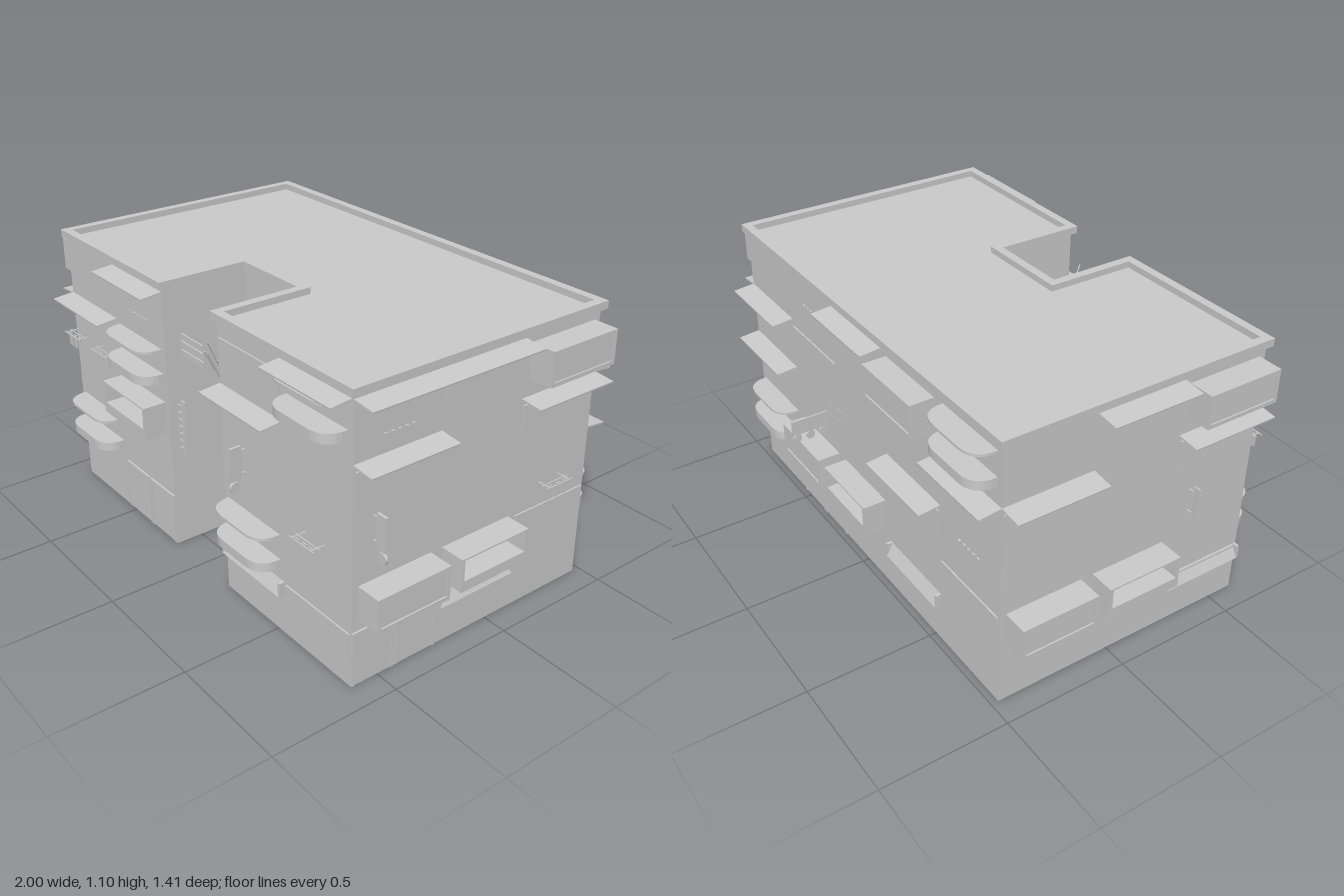
import * as THREE from 'three';

const mat = new THREE.MeshStandardMaterial({ color: 0xcccccc, flatShading: true, side: THREE.DoubleSide });
const FLOOR_TOP = 1.075;

function add(parent, geo, name, x = 0, y = 0, z = 0) {
  const m = new THREE.Mesh(geo, mat);
  m.name = name;
  m.position.set(x, y, z);
  parent.add(m);
  return m;
}
const box = (parent, name, w, h, d, x, y, z) => add(parent, new THREE.BoxGeometry(w, h, d), name, x, y, z);
const part = (parent, name, x = 0, y = 0, z = 0) => {
  const g = new THREE.Group();
  g.name = name;
  g.position.set(x, y, z);
  parent.add(g);
  return g;
};

// U-shaped plan, grown outward by o; points are (x, -z)
function plan(o) {
  const n = 0.18 - o;
  return [[-0.9 - o, -0.61 - o], [-n, -0.61 - o], [-n, -0.25 - o], [n, -0.25 - o], [n, -0.61 - o],
    [0.9 + o, -0.61 - o], [0.9 + o, 0.47 + o], [-0.9 - o, 0.47 + o]].map(p => new THREE.Vector2(...p));
}

// Every part below is placed on a wall: x along it, y up, z outward
function awning(wall, x, y) {
  const m = box(wall, 'awning', 0.36, 0.006, 0.09, x, y, 0.042);
  m.rotation.x = 0.1;
}

function slopedAwning(wall, x) {
  const g = part(wall, 'slopedAwning', x, 0.16, 0);
  const s = new THREE.Shape([[0, 0], [0.025, 0], [0, 0.055]].map(p => new THREE.Vector2(...p)));
  const geo = new THREE.ExtrudeGeometry(s, { depth: 0.34, bevelEnabled: false });
  add(g, geo.rotateY(-Math.PI / 2), 'canopy', 0.17);
  for (const e of [-0.172, 0.172]) box(g, 'canopyEnd', 0.012, 0.055, 0.022, e, 0.027, 0.011);
}

// Slab with rounded outer corners
function roundedSlab(parent, name, y, h) {
  const w = 0.155, d = 0.09, r = 0.088;
  const s = new THREE.Shape();
  s.moveTo(-w, 0);
  s.lineTo(w, 0);
  s.lineTo(w, d - r);
  s.quadraticCurveTo(w, d, w - r, d);
  s.lineTo(-w + r, d);
  s.quadraticCurveTo(-w, d, -w, d - r);
  const geo = new THREE.ExtrudeGeometry(s, { depth: h, bevelEnabled: false, curveSegments: 8 });
  add(parent, geo.rotateX(Math.PI / 2), name, 0, y + h, 0);
}

function roundBalcony(wall, x, y) {
  const g = part(wall, 'roundBalcony', x, y, 0);
  roundedSlab(g, 'balconyBase', 0, 0.036);
  roundedSlab(g, 'balconyRoof', 0.125, 0.01);
}

// Boxed bay: closed with a shallow framed front, or open above a low parapet
function boxBalcony(wall, x, y, open, d = 0.094) {
  const g = part(wall, open ? 'openBalcony' : 'closedBalcony', x, y, 0);
  const w = 0.155, h = 0.13;
  const rect = (c, x0, x1, y0, y1) => {
    c.moveTo(x0, y0); c.lineTo(x1, y0); c.lineTo(x1, y1); c.lineTo(x0, y1); c.closePath();
    return c;
  };
  const s = rect(new THREE.Shape(), -w, w, 0, h);
  s.holes.push(open ? rect(new THREE.Path(), -w + 0.012, w - 0.012, 0.042, h - 0.006)
    : rect(new THREE.Path(), -w + 0.013, w - 0.013, 0.015, h - 0.02));
  add(g, new THREE.ExtrudeGeometry(s, { depth: d, bevelEnabled: false }), 'balconyFrame');
  if (!open) box(g, 'balconyFront', 0.286, 0.1, d - 0.006, 0, 0.062, (d - 0.006) / 2);
}

function doors(wall, x) {
  for (const s of [-1, 1]) {
    const g = part(wall, 'door', x + s * 0.092, 0, 0);
    box(g, 'doorLeaf', 0.162, 0.2, 0.004, 0, 0.106, 0.002);
    for (const e of [-1, 1]) box(g, 'doorJamb', 0.008, 0.21, 0.01, e * 0.084, 0.11, 0.003);
    box(g, 'doorHead', 0.176, 0.008, 0.01, 0, 0.213, 0.003);
  }
}

// Flush window plate
const plate = (wall, x, y, h = 0.11) => box(wall, 'windowPlate', 0.345, h, 0.008, x, y + h / 2, 0.002);

function rack(wall, x, y) {
  const g = part(wall, 'hangingRack', x, y, 0);
  for (const e of [-0.05, 0.05]) box(g, 'rackArm', 0.005, 0.005, 0.055, e, 0, 0.027);
  for (const z of [0.03, 0.055]) box(g, 'rackRail', 0.13, 0.004, 0.004, 0, 0, z);
  for (const e of [-0.038, 0, 0.038]) box(g, 'hangingCloth', 0.024, 0.055, 0.004, e, -0.027, 0.043);
}

function lampSign(wall, x, y) {
  const g = part(wall, 'lampSign', x, y, 0);
  box(g, 'signBoard', 0.01, 0.13, 0.045, 0, 0.115, 0.042);
  for (const e of [0.07, 0.16]) box(g, 'signBracket', 0.006, 0.006, 0.03, 0, e, 0.015);
  add(g, new THREE.CylinderGeometry(0.022, 0.022, 0.01, 16).rotateZ(Math.PI / 2), 'signDisc', 0, 0.025, 0.045);
}

function bar(parent, a, b) {
  const [p, q] = [new THREE.Vector3(...a), new THREE.Vector3(...b)];
  const m = add(parent, new THREE.BoxGeometry(0.004, 0.004, p.distanceTo(q)), 'trussBar');
  m.position.lerpVectors(p, q, 0.5);
  m.lookAt(q);
}

// Sign held away from the wall by a small lattice truss
function trussSign(wall, x, y, reach, length, discs) {
  const g = part(wall, 'trussSign', x, y, 0);
  for (const e of [0.007, 0.05]) bar(g, [0, e, 0], [0, e, reach]);
  const n = 2, step = reach / n;
  for (let i = 0; i < n; i++) {
    bar(g, [0, 0.007, i * step], [0, 0.05, (i + 1) * step]);
    bar(g, [0, 0.05, i * step], [0, 0.007, (i + 1) * step]);
  }
  if (discs) {
    box(g, 'signBoard', 0.006, 0.06, length, 0, 0.03, reach + length / 2);
    for (let i = 0; i < 3; i++) {
      add(g, new THREE.CylinderGeometry(0.017, 0.017, 0.006, 14).rotateZ(Math.PI / 2),
        'signDisc', 0, -0.017, reach + 0.02 + i * 0.053);
    }
  } else {
    for (const [h, e] of [[0.022, -0.004], [0.026, 0.028], [0.022, 0.06]]) {
      box(g, 'signStrip', 0.006, h, length, 0, e, reach + length / 2);
    }
  }
}

// Short row of small vents
function vents(wall, x, y) {
  for (let i = -2; i <= 2; i++) box(wall, 'vent', 0.014, 0.006, 0.008, x + i * 0.028, y, 0.002);
}

export function createModel() {
  const model = new THREE.Group();
  model.name = 'apartmentBlock';

  // Walls, open underneath
  const shell = part(model, 'shell');
  const p = plan(0);
  p.forEach((a, i) => {
    const b = p[(i + 1) % p.length];
    const m = add(shell, new THREE.PlaneGeometry(a.distanceTo(b), FLOOR_TOP), 'wall',
      (a.x + b.x) / 2, FLOOR_TOP / 2, -(a.y + b.y) / 2);
    m.rotation.y = Math.atan2(b.y - a.y, b.x - a.x);
  });
  add(shell, new THREE.ShapeGeometry(new THREE.Shape(p)).rotateX(-Math.PI / 2), 'roof', 0, FLOOR_TOP, 0);
  const rim = new THREE.Shape(plan(0.017));
  rim.holes.push(new THREE.Path(plan(-0.017).reverse()));
  add(shell, new THREE.ExtrudeGeometry(rim, { depth: 0.03, bevelEnabled: false }).rotateX(-Math.PI / 2),
    'parapet', 0, 1.07, 0);

  const wall = (name, x, z, turn) => {
    const g = part(model, name, x, 0, z);
    g.rotation.y = turn * Math.PI / 2;
    return g;
  };

  // Front wings
  const front = wall('frontWall', 0, 0.61, 0);
  for (const [x, y] of [[-0.72, 0.83], [-0.36, 1.05], [0.36, 0.83], [0.72, 1.055]]) awning(front, x, y);
  for (const [x, y] of [[-0.72, 0.26], [-0.36, 0.69], [0.36, 0.26], [0.72, 0.91]]) roundBalcony(front, x, y);
  boxBalcony(front, -0.36, 0.48, true);
  doors(front, -0.36);
  slopedAwning(front, 0.36);
  for (const [x, y] of [[-0.83, 0.68], [-0.61, 0.68], [0.71, 0.48]]) rack(front, x, y);
  lampSign(front, 0.32, 0.48);
  vents(front, -0.36, 0.91);
  vents(front, 0.36, 0.91);
  plate(front, 0.36, 0.9);
  plate(front, 0.72, 0.1);

  // Recessed court
  const court = wall('courtWall', 0, 0.25, 0);
  box(court, 'courtLedge', 0.36, 0.008, 0.008, 0, 0.2, 0.003);
  vents(court, 0, 0.69);
  vents(court, 0, 0.48);
  trussSign(wall('courtRightWall', 0.18, 0.57, -1), 0, 0.835, 0.165, 0.145, false);
  const courtLeft = wall('courtLeftWall', -0.18, 0.57, 1);
  box(courtLeft, 'verticalSign', 0.006, 0.23, 0.026, 0, 0.51, 0.038);
  for (let i = 0; i < 7; i++) box(courtLeft, 'signRung', 0.005, 0.005, 0.03, 0, 0.42 + i * 0.03, 0.013);

  // Right side (+x): local x runs toward -z
  const right = wall('rightWall', 0.9, 0, 1);
  for (const [x, y] of [[-0.43, 1.05], [-0.07, 1.05], [-0.43, 0.83], [0.29, 0.83]]) awning(right, x, y);
  boxBalcony(right, 0.29, 0.905, false, 0.1);
  boxBalcony(right, -0.43, 0.26, false, 0.1);
  boxBalcony(right, -0.07, 0.26, true, 0.1);
  for (const [x, y] of [[-0.43, 0.7], [0.29, 0.7], [0.29, 0.27], [-0.07, 0.92]]) plate(right, x, y);
  doors(right, -0.43);
  slopedAwning(right, -0.07);
  rack(right, 0.28, 0.475);
  lampSign(right, -0.525, 0.47);
  vents(right, -0.43, 0.905);

  // Back: local x runs toward -x
  const back = wall('backWall', 0, -0.47, 2);
  for (const [x, y] of [[-0.72, 0.83], [-0.72, 0.61], [0, 1.05], [0.36, 0.61], [0.72, 0.83]]) awning(back, x, y);
  roundBalcony(back, -0.72, 0.26);
  roundBalcony(back, 0.72, 0.905);
  boxBalcony(back, -0.36, 0.26, false);
  boxBalcony(back, 0, 0.26, true);
  boxBalcony(back, 0.36, 0.905, false);
  doors(back, -0.36);
  slopedAwning(back, 0.36);
  trussSign(back, -0.1, 0.62, 0.09, 0.145, true);
  for (const [x, y] of [[-0.36, 0.7], [0.36, 0.48], [0.72, 0.27]]) plate(back, x, y);
  vents(back, -0.36, 0.95);
  vents(back, 0.72, 0.55);

  // Left side (-x): local x runs toward +z
  const left = wall('leftWall', -0.9, 0, -1);
  for (const [x, y] of [[-0.29, 0.83], [0.07, 1.05], [0.43, 0.83]]) awning(left, x, y);
  boxBalcony(left, -0.29, 0.26, false, 0.1);
  boxBalcony(left, 0.07, 0.26, true, 0.1);
  boxBalcony(left, 0.43, 0.905, false, 0.1);
  box(left, 'verticalSign', 0.006, 0.145, 0.028, 0.33, 0.535, 0.04);
  for (const y of [0.49, 0.58]) box(left, 'signBracket', 0.005, 0.005, 0.028, 0.33, y, 0.014);
  for (const [x, y] of [[0.43, 0.7], [-0.29, 0.7], [0.43, 0.1]]) plate(left, x, y);
  slopedAwning(left, 0.43);
  return model;
}
